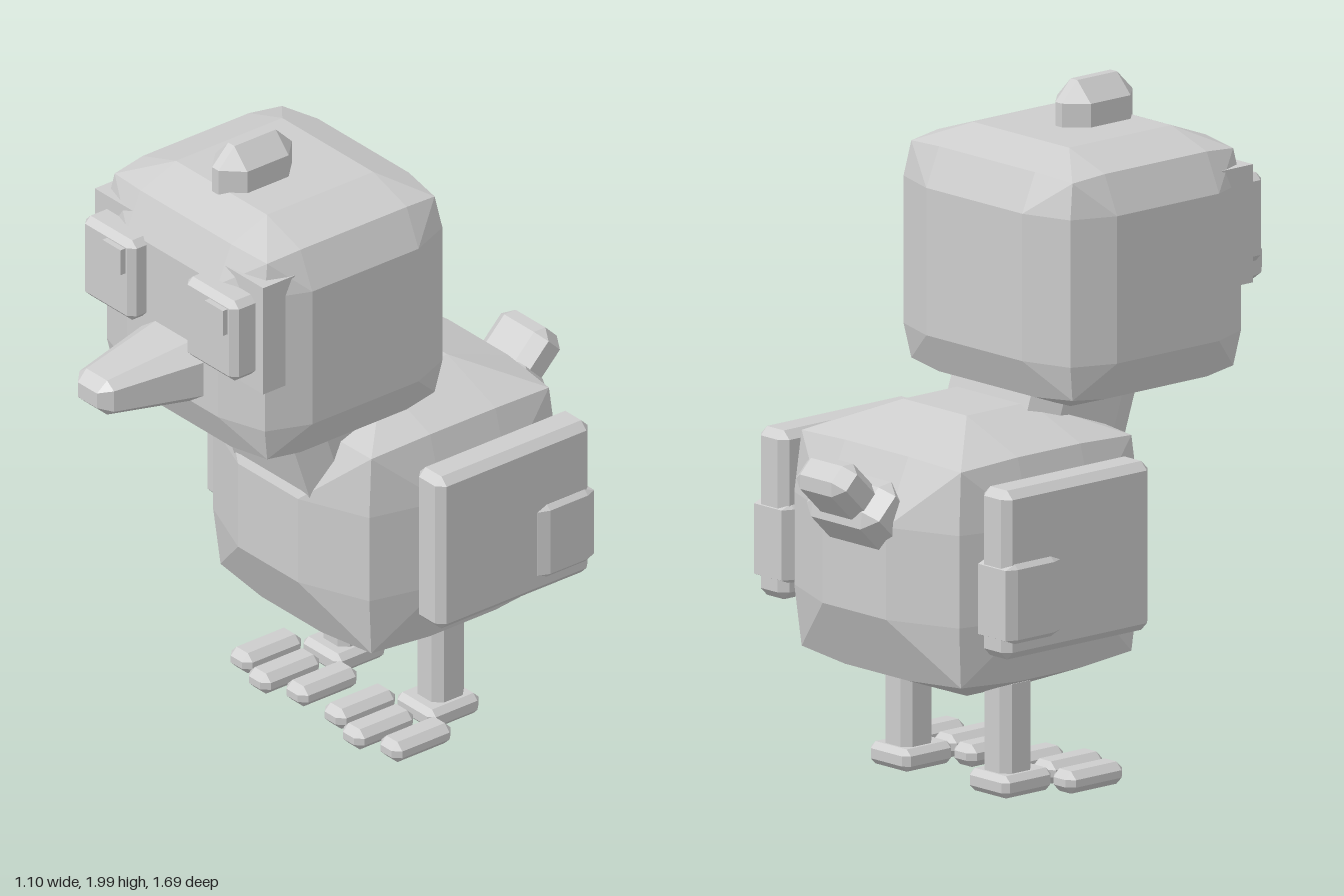
import * as THREE from 'three';
import { ConvexGeometry } from 'three/addons/geometries/ConvexGeometry.js';

export function createModel() {
  const model = new THREE.Group();
  const grey = new THREE.MeshStandardMaterial({ color: 0xcccccc, flatShading: true });
  grey.name = 'plainGrey';

  const add = (name, geometry, x = 0, y = 0, z = 0, tilt = 0) => {
    const mesh = new THREE.Mesh(geometry, grey);
    mesh.name = name;
    mesh.position.set(x, y, z);
    mesh.rotation.x = tilt;
    model.add(mesh);
    return mesh;
  };

  // Bulged cube: flat middle on each face, pulled-in edges and corners (factors per axis)
  const blob = (half, inner, edge, corner) => {
    const pts = [], steps = [-2, -1, 1, 2];
    for (const a of steps) for (const b of steps) for (const c of steps) {
      const v = [a, b, c];
      const outer = v.filter(n => Math.abs(n) === 2).length;
      if (outer === 0) continue;
      const pull = [null, [1, 1, 1], edge, corner][outer];
      const p = v.map((n, i) => Math.sign(n) * half[i] * (Math.abs(n) === 2 ? pull[i] : inner[i]));
      pts.push(new THREE.Vector3(...p));
    }
    return new ConvexGeometry(pts);
  };

  // Box of half sizes hx, hy, hz with its edges and corners cut off
  const chamferBox = (hx, hy, hz, cx, cy = cx, cz = cx) => {
    const pts = [];
    for (const i of [-1, 1]) for (const j of [-1, 1]) for (const k of [-1, 1]) {
      pts.push(
        new THREE.Vector3(i * hx, j * (hy - cy), k * (hz - cz)),
        new THREE.Vector3(i * (hx - cx), j * hy, k * (hz - cz)),
        new THREE.Vector3(i * (hx - cx), j * (hy - cy), k * hz));
    }
    return new ConvexGeometry(pts);
  };

  // Body, neck and head
  add('body', blob([0.41, 0.415, 0.435], [0.33, 0.33, 0.28], [0.86, 0.8, 0.8], [0.83, 0.77, 0.76]), 0, 0.705, -0.262);
  add('neck', chamferBox(0.215, 0.3, 0.2, 0.045, 0.03, 0.09), 0, 1.0, -0.005, 0.32);
  add('head', blob([0.41, 0.383, 0.38], [0.5, 0.57, 0.52], [0.87, 0.87, 0.87], [0.84, 0.84, 0.82]), 0, 1.487, 0.148);
  add('crest', chamferBox(0.072, 0.1, 0.137, 0.058, 0.06, 0.06), 0, 1.9, 0.232);

  // Face plate and eyes; both pupils sit to the same side
  add('facePlate', new THREE.BoxGeometry(0.76, 0.35, 0.12), 0, 1.585, 0.444);
  for (const s of [-1, 1]) {
    add('eye', chamferBox(0.114, 0.131, 0.055, 0.02), s * 0.231, 1.585, 0.53);
    add('pupil', new THREE.BoxGeometry(0.082, 0.082, 0.06), s * 0.231 + 0.046, 1.652, 0.573);
  }

  // Beak: cut-corner sections narrowing to a small flat tip
  const beak = [];
  for (const [z, w, h, cut] of [[0.46, 0.155, 0.108, 0.55], [0.81, 0.078, 0.056, 0.6], [0.845, 0.043, 0.024, 1]]) {
    for (const i of [-1, 1]) for (const j of [-1, 1]) {
      beak.push(new THREE.Vector3(i * w, j * h * cut, z), new THREE.Vector3(i * w * cut, j * h, z));
    }
  }
  add('beak', new ConvexGeometry(beak), 0, 1.365, 0);

  // Wings, legs and feet on both sides
  for (const s of [-1, 1]) {
    add('wing', chamferBox(0.06, 0.25, 0.284, 0.024), s * 0.477, 0.75, -0.31);
    add('wingPatch', chamferBox(0.073, 0.118, 0.105, 0.014, 0.014, 0.035), s * 0.479, 0.667, -0.493);
    add('leg', chamferBox(0.057, 0.17, 0.06, 0.025, 0.02, 0.025), s * 0.212, 0.19, -0.295);
    add('footPad', chamferBox(0.085, 0.033, 0.095, 0.018), s * 0.212, 0.042, -0.285);
    // Middle toe reaches a little further forward
    for (const t of [-1, 0, 1]) {
      add('toe', chamferBox(0.047, 0.033, 0.11, 0.022), s * 0.212 + t * 0.126, 0.042, t ? -0.098 : -0.062);
    }
  }

  // Upturned tail in two pieces
  add('tailBase', chamferBox(0.155, 0.1, 0.085, 0.05, 0.03, 0.04), 0, 0.853, -0.66, -Math.PI / 4);
  add('tailTip', chamferBox(0.107, 0.1, 0.06, 0.04, 0.03, 0.03), 0, 0.937, -0.755, -Math.PI / 4);

  return model;
}
